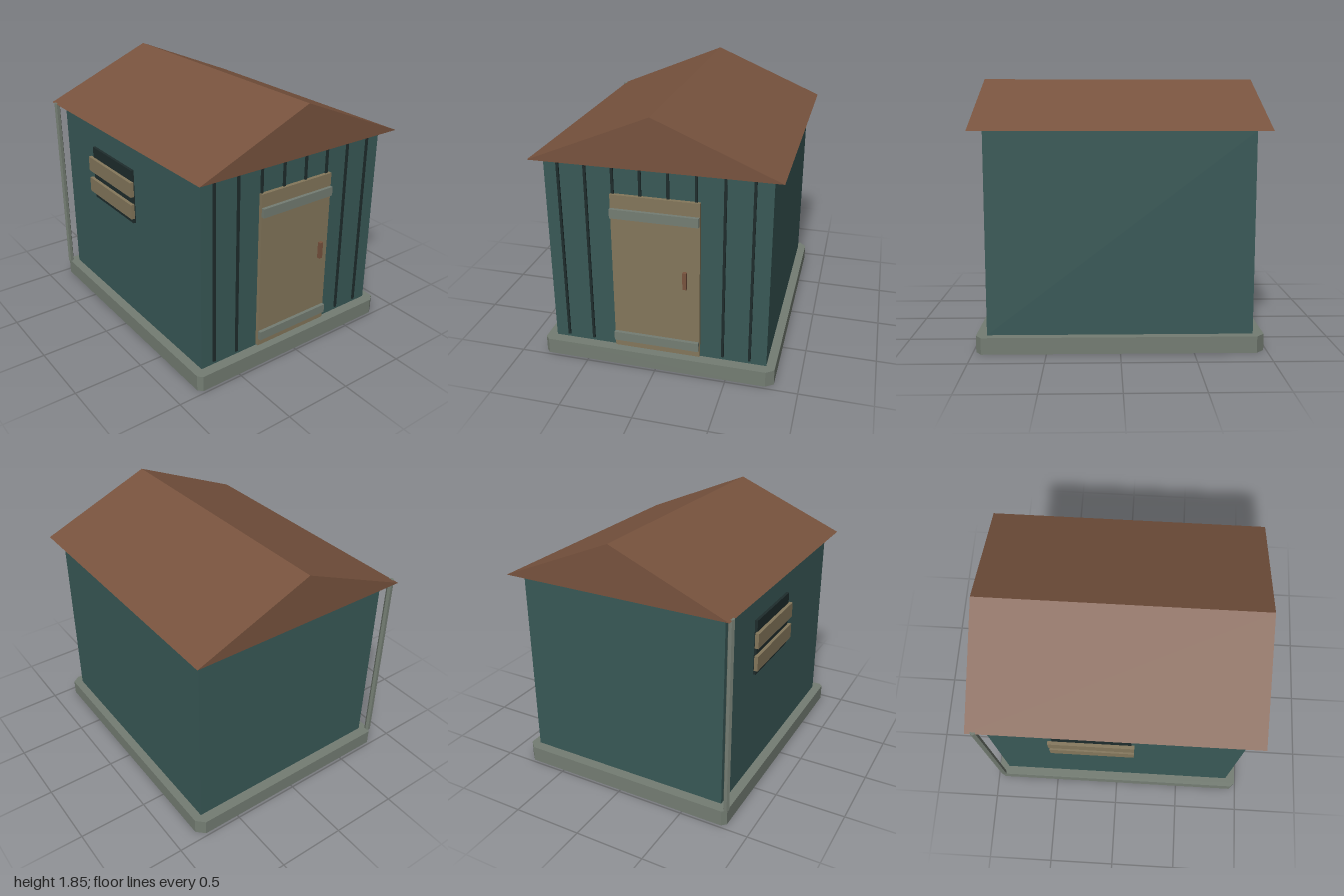
import * as THREE from 'three';

const mat = (name, color) => new THREE.MeshStandardMaterial({ name, color });

export function createModel() {
  const shed = new THREE.Group();
  shed.name = 'shed';

  const teal = mat('teal wall', 0x395957);
  const brown = mat('brown roof', 0x78533e);
  const tan = mat('tan timber', 0x84775b);
  const grey = mat('grey stone', 0x747d73);
  const dark = mat('dark trim', 0x1e2c2c);

  const add = (name, geometry, material) => {
    const mesh = new THREE.Mesh(geometry, material);
    mesh.name = name;
    shed.add(mesh);
    return mesh;
  };

  // Box given by its limits on each axis
  const box = (name, material, [x0, x1], [y0, y1], [z0, z1]) => {
    const mesh = add(name, new THREE.BoxGeometry(x1 - x0, y1 - y0, z1 - z0), material);
    mesh.position.set((x0 + x1) / 2, (y0 + y1) / 2, (z0 + z1) / 2);
    return mesh;
  };

  const polygon = (points) => new THREE.Shape(points.map(([x, y]) => new THREE.Vector2(x, y)));
  const extrude = (points, depth) =>
    new THREE.ExtrudeGeometry(polygon(points), { depth, bevelEnabled: false });

  // Foundation slab with unevenly chipped corners (outline in x, -z)
  const slab = extrude([
    [-0.80, -0.98], [0.775, -0.98], [0.83, -0.94], [0.83, 0.925],
    [0.775, 0.98], [-0.80, 0.98], [-0.83, 0.95], [-0.83, -0.95],
  ], 0.115);
  slab.rotateX(-Math.PI / 2);
  add('foundation', slab, grey);

  // Walls
  box('walls', teal, [-0.763, 0.768], [0.115, 1.5], [-0.906, 0.906]);

  // Gable roof
  const roof = extrude([[-0.832, 1.5], [0.838, 1.5], [0.003, 1.85]], 2);
  roof.translate(0, 0, -1);
  add('roof', roof, brown);

  // Vertical battens on the front wall, the middle ones stopping at the door
  for (let i = 0; i < 8; i++) {
    const x = -0.663 + i * 0.1877;
    const bottom = i > 1 && i < 6 ? 1.27 : 0.14;
    box('batten', dark, [x - 0.009, x + 0.009], [bottom, 1.5], [0.9, 0.917]);
  }

  // Door with two cross bars and a handle
  box('door', tan, [-0.302, 0.305], [0.125, 1.285], [0.9, 0.933]);
  for (const y of [0.18, 1.125]) {
    box('doorBar', grey, [-0.302, 0.301], [y, y + 0.065], [0.933, 0.957]);
  }
  box('doorHandle', brown, [0.198, 0.225], [0.672, 0.795], [0.955, 0.978]);

  // Boarded-up window on the right side
  box('window', dark, [-0.783, -0.755], [0.885, 1.287], [-0.45, 0.11]);
  for (const y of [0.93, 1.097]) {
    box('windowBoard', tan, [-0.807, -0.78], [y, y + 0.11], [-0.48, 0.13]);
  }

  // Six-sided drainpipe at the back right corner
  const pipeShape = new THREE.CylinderGeometry(0.022, 0.022, 1.39, 6).toNonIndexed();
  pipeShape.rotateY(Math.PI / 6);
  pipeShape.computeVertexNormals();
  add('drainpipe', pipeShape, grey).position.set(-0.819, 0.81, -0.944);

  return shed;
}
